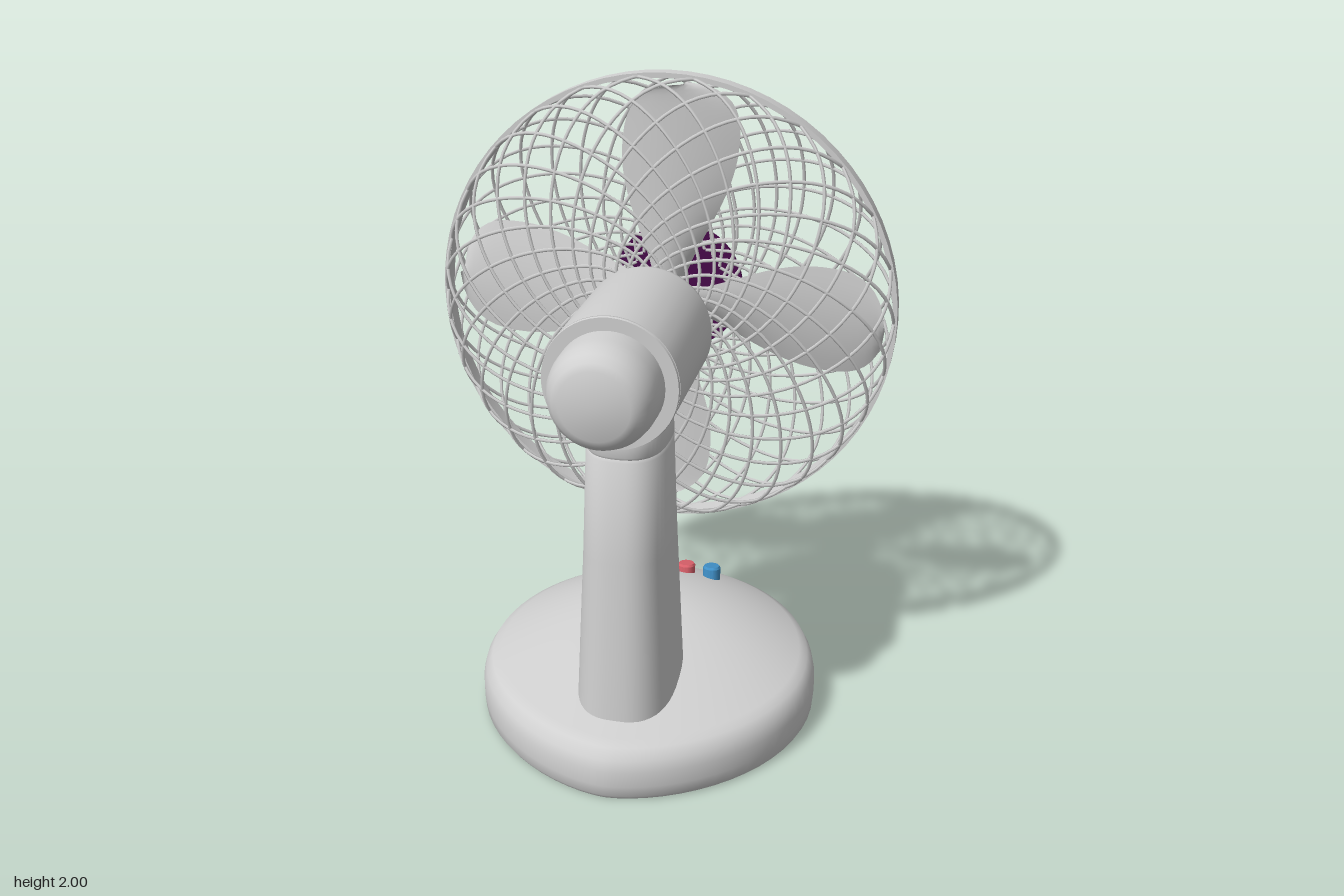
import * as THREE from 'three';
import { toCreasedNormals } from 'three/addons/utils/BufferGeometryUtils.js';

const AXIS_Y = 1.285; // height of the motor and fan axis
const CAGE_Z = -0.24;

function material(name, color, side = THREE.FrontSide) {
  const m = new THREE.MeshStandardMaterial({ color, side });
  m.name = name;
  return m;
}

// Closed skin through rings of [x, y, z] points, listed from bottom to top
function loft(rings) {
  const n = rings[0].length;
  const index = [];
  for (let i = 0; i < rings.length - 1; i++) {
    for (let j = 0; j < n; j++) {
      const k = (j + 1) % n;
      const a = i * n + j, b = i * n + k, c = a + n, d = b + n;
      index.push(a, c, b, b, c, d);
    }
  }
  const g = new THREE.BufferGeometry();
  g.setAttribute('position', new THREE.Float32BufferAttribute(rings.flat(2), 3));
  g.setIndex(index);
  return toCreasedNormals(g, 0.7);
}

// Turned part around the z axis, profile given as [radius, z] with rising z
function turned(profile, segments = 48) {
  const g = new THREE.LatheGeometry(profile.map(([r, z]) => new THREE.Vector2(r, z)), segments);
  return toCreasedNormals(g.rotateX(Math.PI / 2), 0.6);
}

// Egg-shaped base with a domed top
function baseGeometry() {
  const n = 64, midZ = -0.17;
  const ring = (k, height) => Array.from({ length: n }, (_, j) => {
    const a = (j / n) * Math.PI * 2;
    const c = Math.cos(a), s = Math.sin(a);
    const x = 0.54 * Math.sign(c) * Math.abs(c) ** (s > 0 ? 1.2 : 1);
    const z = -0.03 + (s > 0 ? 0.59 : 0.57) * s;
    return [x * k, height(s), midZ + (z - midZ) * k];
  });
  const rings = [[0, 0], [0.98, 0], [0.995, 0.015], [1, 0.05], [1, 0.1], [0.985, 0.135]]
    .map(([k, y]) => ring(k, () => y));
  for (const k of [0.95, 0.9, 0.8, 0.7, 0.6, 0.5, 0.4, 0.3, 0.2, 0.1, 0]) {
    rings.push(ring(k, (s) => 0.155 + 0.15 * (1 - k ** (1.6 - 0.4 * s))));
  }
  return loft(rings);
}

// Tapered column with a soft rectangular section; levels are [y, half x, half z]
function columnGeometry(levels) {
  const n = 48, soft = (v) => Math.sign(v) * Math.abs(v) ** 0.78;
  return loft(levels.map(([y, w, d]) => Array.from({ length: n }, (_, j) => {
    const a = (j / n) * Math.PI * 2;
    return [w * soft(Math.cos(a)), y, 0.207 + d * soft(Math.sin(a))];
  })));
}

// Blade pointing up from the hub, widening to a round tip, pitched and cambered
function bladeGeometry() {
  const g = new THREE.PlaneGeometry(1, 1, 8, 20);
  const p = g.attributes.position;
  for (let i = 0; i < p.count; i++) {
    const u = p.getX(i) * 2, t = p.getY(i) + 0.5;
    const v = 1 - (1 - t) ** 1.5;
    const tip = Math.sqrt(Math.max(0, 1 - (Math.max(0, v - 0.7) / 0.3) ** 3));
    const w = (0.04 + 0.135 * Math.sin(Math.min(v / 0.7, 1) * Math.PI / 2) ** 1.5) * tip;
    p.setXYZ(i, 0.045 * v + w * u, 0.04 + 0.635 * v, -0.03 * u * (1 - 0.3 * v) - 0.02 * u * u * tip);
  }
  g.computeVertexNormals();
  return g;
}

// One spiral wire from the middle of the cage to its rim
function wireGeometry(side, turn) {
  const points = [];
  const start = 0.13, n = 16;
  for (let i = 0; i <= n; i++) {
    const b = start + (Math.PI / 2 - start) * (i / n);
    const r = 0.705 * Math.sin(b) ** 0.75;
    const z = 0.188 * Math.cos(b) ** 0.75 || 0;
    const a = turn * (0.95 * Math.log(r / 0.15) + 0.25 * (i / n) ** 4);
    points.push(new THREE.Vector3(r * Math.cos(a), r * Math.sin(a), side * z));
  }
  return new THREE.TubeGeometry(new THREE.CatmullRomCurve3(points), 26, 0.0055, 5);
}

export function createModel() {
  const body = material('light grey', 0xd0d0d0);
  const bladeGrey = material('blade grey', 0xd0d0d0, THREE.DoubleSide);
  const shaftGrey = material('shaft grey', 0xa0a0a0);
  const purple = material('dark purple', 0x480a4a);
  const red = material('soft red', 0xd9606a);
  const blue = material('blue', 0x4090c8);

  const model = new THREE.Group();
  const add = (name, geometry, mat, parent = model) => {
    const mesh = new THREE.Mesh(geometry, mat);
    mesh.name = name;
    parent.add(mesh);
    return mesh;
  };

  // Stand
  add('base', baseGeometry(), body);
  add('column', columnGeometry([[0.15, 0.155, 0.218], [0.4, 0.144, 0.205], [0.7, 0.131, 0.185],
    [1.02, 0.121, 0.164], [1.028, 0.116, 0.159]]), body);
  add('collar', columnGeometry([[1.028, 0.116, 0.159], [1.036, 0.121, 0.163], [1.09, 0.119, 0.16],
    [1.115, 0.11, 0.15], [1.15, 0.1, 0.14]]), body);

  // Speed buttons
  [purple, body, red, blue].forEach((mat, i) => {
    const button = add('button', turned([[0, -0.03], [0.03, -0.03], [0.03, 0.02], [0.025, 0.027], [0, 0.027]], 20), mat);
    button.rotation.x = -Math.PI / 2 - 0.12;
    button.position.set(-0.13 + i * 0.0885, 0.27, -0.385);
  });

  // Head
  const head = new THREE.Group();
  head.name = 'head';
  head.position.y = AXIS_Y;
  model.add(head);
  add('motorHousing', turned([[0, -0.045], [0.155, -0.045], [0.178, -0.038], [0.19, -0.022], [0.195, 0],
    [0.195, 0.427], [0.186, 0.427], [0.186, 0.432], [0.195, 0.432], [0.193, 0.439], [0, 0.439]]), body);
  add('motorCap', turned([[0.156, 0.43], [0.155, 0.5], [0.15, 0.535], [0.138, 0.565], [0.12, 0.588],
    [0.1, 0.598], [0, 0.6]]), body);
  add('shaft', turned([[0.055, -0.2], [0.055, -0.04]], 24), shaftGrey);
  add('hub', turned([[0, -0.33], [0.05, -0.325], [0.075, -0.3], [0.08, -0.25], [0.06, -0.23], [0.06, -0.21],
    [0.075, -0.205], [0.075, -0.185], [0, -0.185]], 32), body);

  // Blades
  const blade = bladeGeometry();
  for (let i = 0; i < 4; i++) {
    const mesh = add('blade', blade, bladeGrey, head);
    mesh.position.z = -0.28;
    mesh.rotation.z = i * Math.PI / 2;
  }

  // Cage of crossing spiral wires on both faces
  const cage = new THREE.Group();
  cage.name = 'cage';
  cage.position.z = CAGE_Z;
  head.add(cage);
  const count = 26;
  for (const side of [-1, 1]) {
    for (const turn of [-1, 1]) {
      const wire = wireGeometry(side, turn);
      for (let i = 0; i < count; i++) {
        add('cageWire', wire, body, cage).rotation.z = (i / count) * Math.PI * 2;
      }
    }
  }
  add('cageRim', turned([[0.7, -0.03], [0.715, -0.03], [0.715, 0.02], [0.7, 0.02], [0.7, -0.03]], 72), body, cage);
  add('cageCap', turned([[0, -0.24], [0.07, -0.237], [0.14, -0.226], [0.19, -0.21], [0.21, -0.198],
    [0.21, -0.188], [0, -0.186]]), purple, cage);

  // Move the turned head parts onto the fan axis
  for (const name of ['motorHousing', 'motorCap', 'shaft', 'hub']) {
    head.add(model.getObjectByName(name));
  }
  return model;
}
